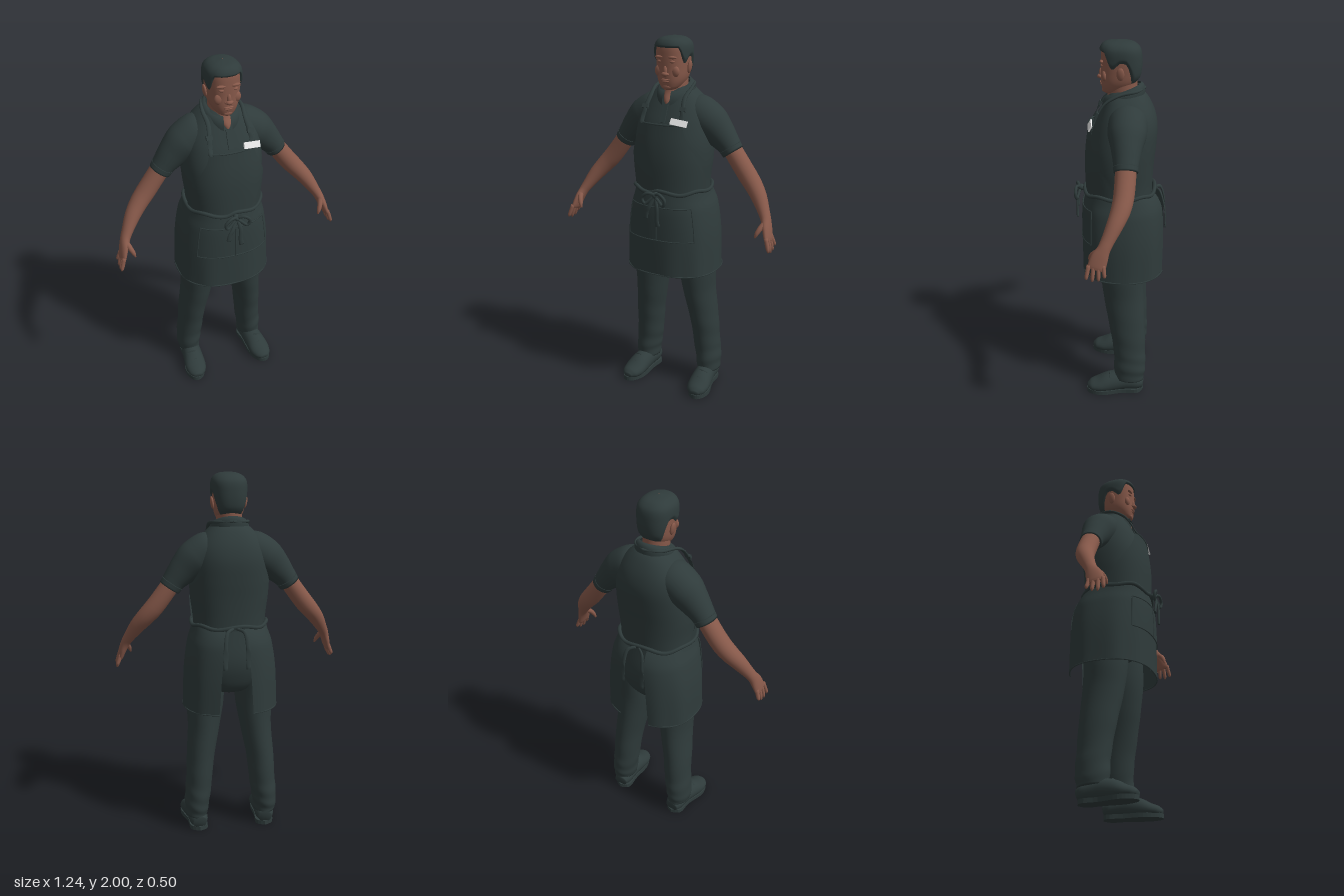
import * as THREE from 'three';

const V = (x, y, z) => new THREE.Vector3(x, y, z);
const { lerp, smoothstep } = THREE.MathUtils;
const TAU = Math.PI * 2;

// Surface grid from f(u, v); wrap joins the u ends
function grid(f, nu, nv, wrap = false) {
  const pos = [], idx = [], cols = wrap ? nu : nu + 1;
  for (let j = 0; j <= nv; j++)
    for (let i = 0; i < cols; i++) pos.push(...f(i / nu, j / nv).toArray());
  for (let j = 0; j < nv; j++)
    for (let i = 0; i < nu; i++) {
      const a = j * cols + i, b = j * cols + (i + 1) % cols;
      idx.push(a, b, a + cols, b, b + cols, a + cols);
    }
  const g = new THREE.BufferGeometry();
  g.setAttribute('position', new THREE.Float32BufferAttribute(pos, 3));
  g.setIndex(idx);
  g.computeVertexNormals();
  return g;
}

// Rounded body surface from rows [y, halfWidth, zFront, zBack]; angle 0 is the front
function body(rows, n = 2.3) {
  const slope = (i, k) => {
    const a = rows[Math.max(i - 1, 0)], b = rows[Math.min(i + 1, rows.length - 1)];
    return (b[k] - a[k]) / (b[0] - a[0]);
  };
  const at = (y, k) => {
    let i = 0;
    while (i < rows.length - 2 && y > rows[i + 1][0]) i++;
    const a = rows[i], b = rows[i + 1], h = b[0] - a[0], t = Math.min(1, Math.max(0, (y - a[0]) / h));
    return a[k] * (1 + 2 * t) * (1 - t) ** 2 + b[k] * t * t * (3 - 2 * t)
      + h * (slope(i, k) * t * (1 - t) ** 2 + slope(i + 1, k) * t * t * (t - 1));
  };
  const p = (s) => Math.sign(s) * Math.abs(s) ** (2 / n);
  return (th, y, off = 0) => {
    const f = at(y, 2), b = at(y, 3);
    return V((at(y, 1) + off) * p(Math.sin(th)), y, (f + b) / 2 + ((f - b) / 2 + off) * p(Math.cos(th)));
  };
}
const closed = (s, y0, y1, nv = 40) => grid((u, v) => s(u * TAU, lerp(y0, y1, v)), 48, nv, true);

// Limb along points [x, y, z, radiusA, radiusB]; fold adds cloth wrinkles
function limb(pts, { ref = V(0, 0, 1), nu = 20, nv = 24, fold = 0, floor = -1 } = {}) {
  const path = new THREE.CatmullRomCurve3(pts.map((p) => V(p[0], p[1], p[2])));
  const rad = new THREE.CatmullRomCurve3(pts.map((p) => V(p[3], p[4], 0)));
  return grid((u, v) => {
    const end = v === 0 || v === 1, t = Math.min(1, Math.max(0, (v * (nv + 2) - 1) / nv));
    const T = path.getTangent(t), A = T.clone().cross(ref).normalize(), B = T.clone().cross(A);
    const r = rad.getPoint(t), a = u * TAU;
    const k = end ? 0 : 1 + fold * Math.sin(t * 38 + 2 * Math.sin(a + t * 5)) * smoothstep(t, 0.2, 1);
    const q = path.getPoint(t).addScaledVector(A, r.x * k * Math.cos(a)).addScaledVector(B, r.y * k * Math.sin(a));
    q.y = Math.max(q.y, floor);
    return q;
  }, nu, nv + 2, true);
}
const tube = (pts, r, loop = false, n = 24) =>
  new THREE.TubeGeometry(new THREE.CatmullRomCurve3(pts, loop), n, r, 6, loop);

export function createModel() {
  const root = new THREE.Group();
  const mat = (name, color) => Object.assign(new THREE.MeshStandardMaterial({ color, side: THREE.DoubleSide }), { name });
  const cloth = mat('dark slate cloth', 0x2f3b3b);
  const skin = mat('skin', 0x87594a);
  const white = mat('tag white', 0xe6e6e6);
  const add = (name, geo, m = cloth) => {
    const mesh = new THREE.Mesh(geo, m);
    mesh.name = name;
    root.add(mesh);
    return mesh;
  };
  const blob = (name, m, x, y, z, sx, sy, sz) => {
    const b = add(name, new THREE.SphereGeometry(1, 16, 12), m);
    b.position.set(x, y, z);
    b.scale.set(sx, sy, sz);
    return b;
  };

  // Shirt body and trouser seat
  const torso = body([[1.13, 0.19, 0.145, -0.17], [1.25, 0.2, 0.165, -0.175], [1.35, 0.212, 0.17, -0.182],
    [1.45, 0.215, 0.165, -0.192], [1.55, 0.205, 0.138, -0.197], [1.62, 0.185, 0.108, -0.185],
    [1.68, 0.145, 0.08, -0.16], [1.73, 0.092, 0.055, -0.125], [1.75, 0.06, 0.03, -0.09]]);
  add('shirt', closed(torso, 1.13, 1.75));
  const seat = body([[0.8, 0.03, -0.01, -0.06], [0.83, 0.12, 0.06, -0.13], [0.92, 0.205, 0.12, -0.175],
    [1.02, 0.215, 0.14, -0.19], [1.18, 0.19, 0.145, -0.172]]);
  add('trouserSeat', closed(seat, 0.8, 1.18, 20));

  // Neck and head
  const neck = body([[1.63, 0.008, 0.085, 0.0], [1.67, 0.034, 0.092, -0.05], [1.72, 0.064, 0.066, -0.085],
    [1.8, 0.068, 0.055, -0.09]], 2);
  add('neck', closed(neck, 1.63, 1.8, 14), skin);
  const skull = body([[1.722, 0.006, 0.06, 0.04], [1.73, 0.036, 0.084, -0.01], [1.755, 0.06, 0.095, -0.05],
    [1.79, 0.076, 0.1, -0.085], [1.84, 0.083, 0.1, -0.1], [1.9, 0.086, 0.1, -0.103], [1.95, 0.083, 0.097, -0.096],
    [1.975, 0.066, 0.085, -0.075], [1.988, 0.038, 0.06, -0.045], [1.993, 0.003, 0.012, 0.006]], 2.35);
  add('head', closed(skull, 1.722, 1.993, 44), skin);
  add('hair', grid((u, v) => {
    const th = u * TAU, a = Math.min(th, TAU - th);
    const low = 1.945 - 0.08 * smoothstep(a, 0.75, 1.2) + 0.03 * smoothstep(a, 1.3, 1.6) - 0.11 * smoothstep(a, 1.75, 2.4);
    const p = skull(th, lerp(low, 1.993, 1 - (1 - v) ** 2), 0.01 * Math.min(1, v * 12) * (1 - v ** 8));
    p.y += 0.007 * v;
    return p;
  }, 48, 28, true));
  blob('nose', skin, 0, 1.825, 0.099, 0.012, 0.03, 0.012);
  blob('noseTip', skin, 0, 1.812, 0.106, 0.018, 0.012, 0.014);
  blob('upperLip', skin, 0, 1.783, 0.097, 0.026, 0.005, 0.009);
  blob('lowerLip', skin, 0, 1.773, 0.095, 0.022, 0.006, 0.009);
  blob('chin', skin, 0, 1.745, 0.083, 0.026, 0.016, 0.013);

  // Collar, folded over and open at the throat
  add('collar', grid((u, v) => {
    const th = lerp(0.22, TAU - 0.22, u), c = Math.cos(th), s = Math.sin(th);
    const drop = Math.sin(Math.min(1, v * 1.1) * Math.PI / 2), top = 1.752 - 0.03 * c;
    return V(s * lerp(0.072, 0.104, drop), top - 0.052 * v * v - 0.022 * v * Math.max(0, c),
      -0.025 + c * lerp(0.082, c > 0 ? 0.122 : 0.105, drop));
  }, 40, 8));
  const placket = add('placket', new THREE.BoxGeometry(0.03, 0.1, 0.008));
  placket.position.set(0, 1.61, 0.115);
  placket.rotation.x = -0.42;

  // Apron bib
  const bib = body([[1.18, 0.2, 0.186, -0.18], [1.35, 0.217, 0.19, -0.185], [1.45, 0.217, 0.184, -0.192],
    [1.56, 0.207, 0.168, -0.195]]);
  const bibAt = (u, v, off = 0) => bib((u * 2 - 1) * lerp(1.5, 0.58, smoothstep(v, 0.1, 1)), lerp(1.18, 1.56, v), off);
  add('apronBib', grid((u, v) => bibAt(u, v), 32, 20));
  add('bibHem', tube(Array.from({ length: 13 }, (_, i) => bibAt(i / 12, 1)), 0.005));

  // Apron skirt with an open back, and its pockets
  const skirt = body([[0.73, 0.26, 0.206, -0.246], [0.95, 0.252, 0.206, -0.246], [1.1, 0.23, 0.202, -0.235],
    [1.16, 0.21, 0.193, -0.212], [1.2, 0.2, 0.186, -0.182]], 2.4);
  const skirtAt = (u, y, off = 0) => skirt((u * 2 - 1) * (Math.PI - lerp(0.3, 0.2, (y - 0.73) / 0.47)), y, off);
  add('apronSkirt', grid((u, v) => skirtAt(u, lerp(0.73, 1.2, v), 0.003 * Math.sin(u * 50) * (1 - v)), 72, 24));
  add('skirtHem', tube(Array.from({ length: 41 }, (_, i) => skirtAt(i / 40, 0.733)), 0.004, false, 80));
  const pocket = (u, v) => skirt((u * 2 - 1) * 0.82, lerp(0.935, 1.12, v), 0.005);
  add('pocket', grid(pocket, 24, 8));
  const pocketEdge = (name, f) => add(name, tube(Array.from({ length: 13 }, (_, i) => f(i / 12)), 0.0035));
  pocketEdge('pocketTop', (t) => pocket(t, 1));
  pocketEdge('pocketBottom', (t) => pocket(t, 0));
  for (const u of [0, 0.5, 1]) pocketEdge('pocketSeam', (t) => pocket(u, t));

  // Waist tie with bow
  add('waistTie', tube(Array.from({ length: 40 }, (_, i) => {
    const p = skirt(i / 40 * TAU, 1.2, 0.005);
    p.y += 0.008 * Math.cos(i * 0.9);
    return p;
  }), 0.011, true, 100));
  blob('bowKnot', cloth, 0, 1.19, 0.213, 0.018, 0.018, 0.022);
  for (const s of [-1, 1]) {
    add('bowLoop', tube([V(0, 1.19, 0.22), V(s * 0.035, 1.205, 0.238), V(s * 0.068, 1.175, 0.24),
      V(s * 0.055, 1.145, 0.235), V(s * 0.02, 1.17, 0.225)], 0.009, true));
    add('bowTail', limb([[0, 1.19, 0.22, 0.008, 0.005], [s * 0.022 - 0.005, 1.13, 0.235, 0.011, 0.006],
      [s * 0.03 - 0.012, 1.08 - s * 0.02, 0.236, 0.012, 0.006], [s * 0.036 - 0.012, 1.045 - s * 0.02, 0.235, 0.014, 0.006]]));
    add('backTie', limb([[s * 0.01, 1.2, -0.195, 0.008, 0.006], [s * 0.045, 1.185, -0.22, 0.01, 0.006],
      [s * 0.06, 1.1, -0.243, 0.011, 0.005], [s * 0.062, 0.99, -0.25, 0.011, 0.005]]));
  }

  // Name tag
  const tag = add('nameTag', new THREE.BoxGeometry(0.092, 0.034, 0.008), white);
  tag.position.set(0.105, 1.577, 0.152);
  tag.rotation.set(-0.5, 0.15, -0.06);

  for (const s of [-1, 1]) {
    const M = (pts) => pts.map(([x, ...r]) => [s * x, ...r]);

    // Face sides
    blob('ear', skin, s * 0.089, 1.842, -0.005, 0.01, 0.034, 0.02).rotation.z = -s * 0.15;
    blob('browRidge', skin, s * 0.036, 1.897, 0.092, 0.027, 0.008, 0.011);
    blob('eyelid', skin, s * 0.034, 1.875, 0.088, 0.016, 0.008, 0.012);
    blob('nostril', skin, s * 0.014, 1.81, 0.099, 0.009, 0.008, 0.01);
    blob('cheek', skin, s * 0.045, 1.825, 0.078, 0.026, 0.03, 0.016);

    // Neck strap with buckle
    add('apronStrap', limb(M([[0.115, 1.555, 0.152, 0.012, 0.006], [0.11, 1.62, 0.122, 0.012, 0.006],
      [0.1, 1.69, 0.075, 0.012, 0.007], [0.104, 1.735, 0, 0.01, 0.008], [0.075, 1.75, -0.09, 0.008, 0.008],
      [0, 1.755, -0.128, 0.007, 0.008]])));
    const buckle = add('strapBuckle', new THREE.BoxGeometry(0.034, 0.022, 0.014));
    buckle.position.set(s * 0.11, 1.64, 0.114);
    buckle.rotation.x = -0.5;

    // Sleeve and cuff
    add('sleeve', limb(M([[0.08, 1.61, -0.045, 0.085, 0.09], [0.13, 1.595, -0.045, 0.1, 0.103],
      [0.19, 1.555, -0.045, 0.1, 0.1], [0.25, 1.5, -0.045, 0.083, 0.08], [0.3, 1.445, -0.045, 0.064, 0.066],
      [0.326, 1.408, -0.045, 0.057, 0.06]]), { nu: 28, nv: 30 }));
    add('sleeveCuff', limb(M([[0.311, 1.43, -0.045, 0.062, 0.065], [0.328, 1.405, -0.045, 0.059, 0.062]]), { nv: 4 }));

    // Arm, palm, fingers and thumb
    add('arm', limb(M([[0.29, 1.47, -0.045, 0.048, 0.053], [0.33, 1.41, -0.045, 0.05, 0.054],
      [0.41, 1.302, -0.038, 0.051, 0.053], [0.455, 1.25, -0.025, 0.048, 0.05], [0.5, 1.195, 0.0, 0.042, 0.043],
      [0.545, 1.125, 0.035, 0.03, 0.034], [0.562, 1.095, 0.05, 0.026, 0.033], [0.578, 1.055, 0.07, 0.022, 0.043],
      [0.592, 1.01, 0.085, 0.017, 0.046], [0.597, 0.995, 0.089, 0.012, 0.042]]), { nv: 36 }), skin);
    for (let i = 0; i < 4; i++) {
      const z = 0.052 + i * 0.024, len = [0.045, 0.062, 0.066, 0.056][i], dz = (i - 1.2) * 0.006;
      add('finger', limb(M([[0.593, 1.02, z, 0.011, 0.011], [0.605, 1.005 - len * 0.4, z + dz * 0.6, 0.011, 0.0105],
        [0.612, 1.005 - len * 0.8, z + dz, 0.009, 0.009], [0.614, 1.005 - len, z + dz, 0.004, 0.004]]), { nu: 10, nv: 9 }), skin);
    }
    add('thumb', limb(M([[0.567, 1.085, 0.075, 0.016, 0.017], [0.552, 1.06, 0.105, 0.014, 0.014],
      [0.54, 1.035, 0.12, 0.011, 0.011], [0.533, 1.013, 0.125, 0.004, 0.004]]), { nu: 10, nv: 10 }), skin);

    // Trouser leg
    add('trouserLeg', limb(M([[0.12, 0.95, -0.03, 0.09, 0.13], [0.138, 0.76, -0.018, 0.103, 0.121],
      [0.15, 0.6, -0.028, 0.088, 0.112], [0.173, 0.42, -0.048, 0.077, 0.1], [0.186, 0.26, -0.062, 0.073, 0.09],
      [0.197, 0.16, -0.064, 0.07, 0.09], [0.2, 0.085, -0.06, 0.063, 0.083]]), { nu: 28, nv: 60, fold: 0.022 }));

    // Shoe, sole and laces
    add('shoe', limb(M([[0.19, 0.05, -0.138, 0.035, 0.038], [0.193, 0.058, -0.1, 0.05, 0.053],
      [0.198, 0.065, -0.02, 0.06, 0.055], [0.205, 0.055, 0.05, 0.058, 0.06], [0.211, 0.042, 0.11, 0.042, 0.062],
      [0.216, 0.036, 0.155, 0.03, 0.048], [0.218, 0.032, 0.178, 0.014, 0.022]]),
    { ref: V(1, 0, 0), nu: 24, nv: 28, floor: 0.015 }));
    const sole = new THREE.Shape(new THREE.SplineCurve([[0.19, 0.142], [0.24, 0.11], [0.244, 0.02], [0.272, -0.09],
      [0.255, -0.16], [0.218, -0.183], [0.178, -0.16], [0.15, -0.09], [0.15, 0.02], [0.143, 0.11], [0.19, 0.142]]
      .map(([x, y]) => new THREE.Vector2(s * x, y))).getPoints(40));
    add('shoeSole', new THREE.ExtrudeGeometry(sole, { depth: 0.024, bevelEnabled: false }).rotateX(-Math.PI / 2));
    for (let i = 0; i < 3; i++) {
      const z = 0.045 + i * 0.023, y = 0.114 - i * 0.011;
      add('shoeLace', tube([V(s * 0.207 - 0.032, y - 0.013, z), V(s * 0.207, y, z + 0.004),
        V(s * 0.207 + 0.032, y - 0.013, z)], 0.005, false, 8));
    }
  }
  return root;
}
